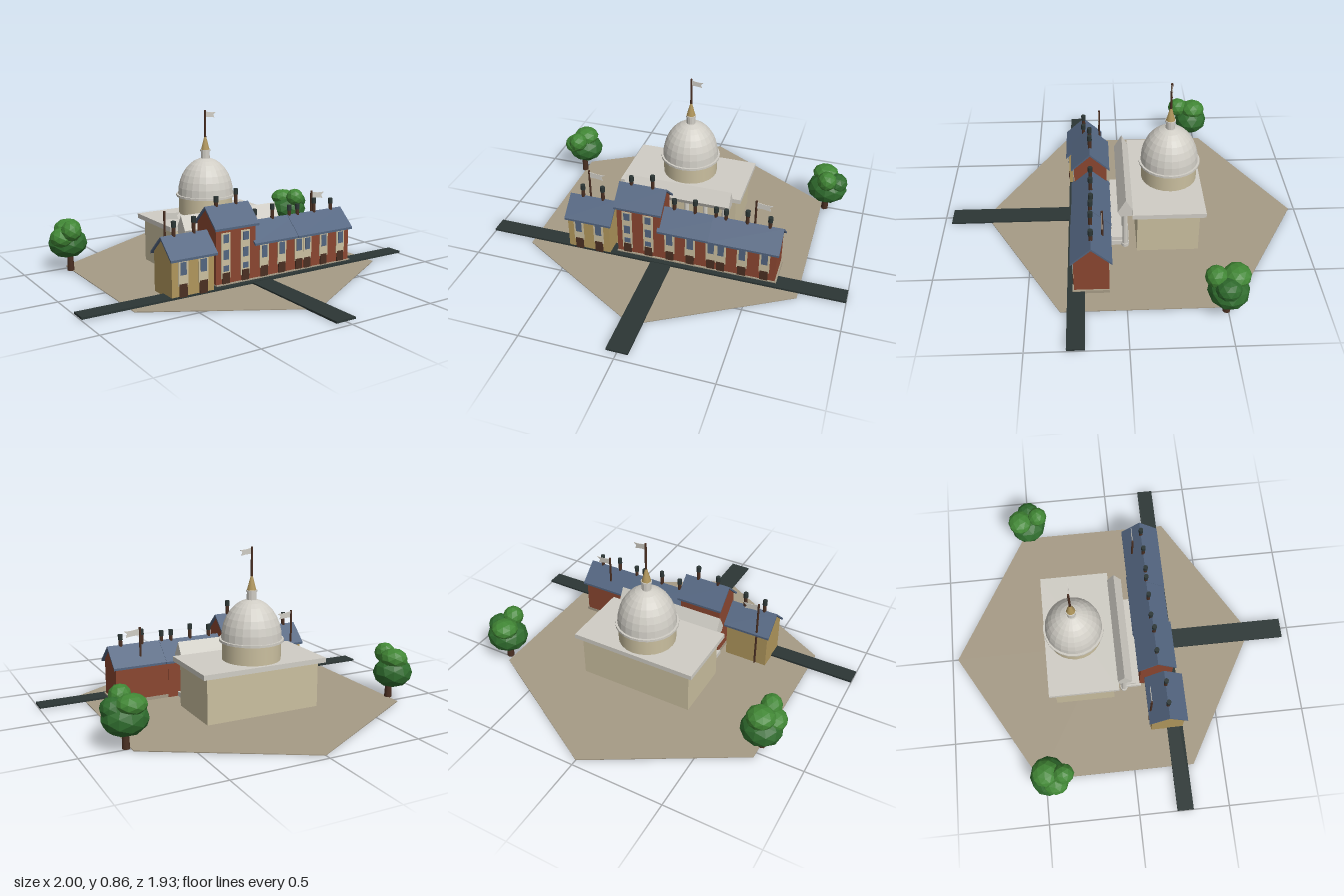
import * as THREE from 'three';

const mat = (name, color, flat = false) => {
  const m = new THREE.MeshStandardMaterial({ color, flatShading: flat });
  m.name = name;
  return m;
};

export function createModel() {
  const root = new THREE.Group();
  root.name = 'townSquare';
  const M = {
    ground: mat('ground', 0xa69b86),
    asphalt: mat('asphalt', 0x2c3635),
    ochre: mat('ochre', 0xb0965c),
    brick: mat('brick', 0x8a4630),
    slate: mat('slate', 0x536580),
    sandstone: mat('sandstone', 0xcabf9f),
    stone: mat('stone', 0xd0cdc5, true),
    wood: mat('wood', 0x4a2f22),
    leaf: mat('darkLeaf', 0x2f6b2d, true),
    leafLight: mat('lightLeaf', 0x418735, true),
  };

  const add = (parent, name, geo, material, x = 0, y = 0, z = 0) => {
    const m = new THREE.Mesh(geo, material);
    m.name = name;
    m.position.set(x, y, z);
    parent.add(m);
    return m;
  };
  // Box given by its min and max on each axis
  const box = (parent, name, material, x0, x1, y0, y1, z0, z1) =>
    add(parent, name, new THREE.BoxGeometry(x1 - x0, y1 - y0, z1 - z0), material,
      (x0 + x1) / 2, (y0 + y1) / 2, (z0 + z1) / 2);
  // Upright cylinder or cone from y0 to y1
  const post = (parent, name, material, x, z, y0, y1, rBottom, rTop = rBottom, sides = 10) =>
    add(parent, name, new THREE.CylinderGeometry(rTop, rBottom, y1 - y0, sides), material, x, (y0 + y1) / 2, z);
  // Symmetric (z, y) profile extruded along x
  const prism = (parent, name, material, points, x0, x1, z) => {
    const shape = new THREE.Shape(points.map(([a, b]) => new THREE.Vector2(a, b)));
    const geo = new THREE.ExtrudeGeometry(shape, { depth: x1 - x0, bevelEnabled: false });
    geo.rotateY(Math.PI / 2);
    return add(parent, name, geo, material, x0, 0, z);
  };

  // Ground and roads
  const ground = post(root, 'ground', M.ground, 0, -0.1, 0, 0.004, 0.868, 0.868, 6);
  ground.material = M.ground;
  box(root, 'crossRoad', M.asphalt, -1, 1, 0.005, 0.016, 0.21, 0.3);
  box(root, 'approachRoad', M.asphalt, -0.057, 0.057, 0.002, 0.012, 0.25, 0.96);
  box(root, 'pavement', M.ground, -0.26, 0.63, 0.002, 0.022, 0.084, 0.272);

  // Terraced houses with gabled roofs, doors, windows and chimneys
  function house(name, wallMat, o) {
    const g = new THREE.Group();
    g.name = name;
    root.add(g);
    const { x0, x1, z, eave, ridge, bays, panes, frame, stacks } = o;
    const half = 0.09, over = 0.106, t = 0.012;
    const wallTop = ridge - t - (ridge - eave) * half / over;
    prism(g, 'walls', wallMat,
      [[-half, 0.004], [half, 0.004], [half, wallTop], [0, ridge - t], [-half, wallTop]], x0, x1, z);
    prism(g, 'roof', M.slate,
      [[over, eave - t], [over, eave], [0, ridge], [-over, eave], [-over, eave - t], [0, ridge - t]],
      x0 - 0.012, x1 + 0.014, z);
    const f = z + half;
    bays.forEach((x, i) => {
      box(g, 'windowSurround', M.sandstone, x - 0.028, x + 0.028, frame[0], frame[1], f - 0.002, f + 0.004);
      for (const [a, b] of panes) box(g, 'windowPane', M.slate, x - 0.017, x + 0.017, a, b, f, f + 0.007);
      box(g, 'door', M.wood, x - 0.022, x + 0.022, 0.012, 0.08, f - 0.002, f + 0.006);
      const top = stacks[i];
      post(g, 'chimney', M.wood, x, z, ridge - 0.03, top - 0.025, 0.01);
      post(g, 'chimneyPot', M.asphalt, x, z, top - 0.03, top, 0.013);
    });
  }
  const low = { eave: 0.21, ridge: 0.307, panes: [[0.125, 0.19]], frame: [0.07, 0.2] };
  house('ochreHouse', M.ochre, { ...low, x0: -0.533, x1: -0.292, z: 0.208, bays: [-0.47, -0.355], stacks: [0.375, 0.385] });
  house('tallHouse', M.brick, {
    x0: -0.258, x1: -0.016, z: 0.172, eave: 0.318, ridge: 0.417, bays: [-0.2, -0.08],
    panes: [[0.238, 0.282], [0.15, 0.2], [0.088, 0.118]], frame: [0.05, 0.29], stacks: [0.462, 0.49],
  });
  house('middleTerrace', M.brick, { ...low, x0: -0.016, x1: 0.325, z: 0.172, bays: [0.04, 0.155, 0.27], stacks: [0.365, 0.38, 0.36] });
  house('endTerrace', M.brick, { ...low, x0: 0.268, x1: 0.621, z: 0.175, bays: [0.325, 0.44, 0.56], stacks: [0.36, 0.38, 0.365] });

  // Flagpoles with swallow-tailed flags
  function flagpole(x, z, y0, top, r, w, h) {
    post(root, 'flagpole', M.wood, x, z, y0, top, r, r, 8);
    const s = new THREE.Shape();
    s.moveTo(0, 0);
    s.quadraticCurveTo(w * 0.5, -h * 0.3, w, -h * 0.2);
    s.lineTo(w * 0.78, -h * 0.55);
    s.lineTo(w * 0.88, -h);
    s.quadraticCurveTo(w * 0.4, -h * 0.8, 0, -h * 0.85);
    const geo = new THREE.ExtrudeGeometry(s, { depth: 0.003, bevelEnabled: false, curveSegments: 4 });
    add(root, 'flag', geo, M.stone, x, top - 0.005, z);
  }
  for (const x of [-0.47, 0.47]) flagpole(x, 0.115, 0.004, 0.407, 0.006, 0.09, 0.045);

  // Domed hall
  const hall = new THREE.Group();
  hall.name = 'domedHall';
  root.add(hall);
  const dz = -0.262;
  box(hall, 'hallWalls', M.sandstone, -0.32, 0.32, 0.004, 0.247, -0.403, -0.072);
  box(hall, 'hallRoof', M.stone, -0.35, 0.35, 0.247, 0.273, -0.432, -0.045);
  post(hall, 'drum', M.sandstone, 0, dz, 0.27, 0.375, 0.153, 0.153, 24);
  post(hall, 'drumCornice', M.stone, 0, dz, 0.37, 0.382, 0.168, 0.168, 24);
  const dome = new THREE.SphereGeometry(0.157, 24, 8, 0, Math.PI * 2, 0, Math.PI / 2);
  dome.scale(1, 1.31, 1);
  add(hall, 'dome', dome, M.stone, 0, 0.382, dz);
  post(hall, 'lantern', M.stone, 0, dz, 0.575, 0.628, 0.025, 0.025, 12);
  post(hall, 'lanternRim', M.stone, 0, dz, 0.625, 0.634, 0.029, 0.029, 12);
  post(hall, 'spire', M.ochre, 0, dz, 0.634, 0.712, 0.025, 0.004, 8);
  flagpole(0, dz, 0.7, 0.855, 0.006, 0.068, 0.038);

  // Portico: steps, colonnade and steep roof
  box(hall, 'lowerStep', M.stone, -0.27, 0.27, 0.004, 0.03, -0.03, 0.09);
  box(hall, 'upperStep', M.stone, -0.26, 0.26, 0.03, 0.05, -0.03, 0.06);
  for (let i = 0; i < 6; i++) {
    const x = -0.27 + i * 0.108;
    post(hall, 'columnBase', M.stone, x, -0.01, 0.004, 0.022, 0.02, 0.02, 12);
    post(hall, 'column', M.stone, x, -0.01, 0.02, 0.225, 0.015, 0.013, 12);
    post(hall, 'columnCapital', M.stone, x, -0.01, 0.222, 0.238, 0.019, 0.019, 12);
  }
  prism(hall, 'porticoRoof', M.stone,
    [[-0.03, 0.234], [0.03, 0.234], [0.043, 0.262], [0, 0.337], [-0.043, 0.262]], -0.305, 0.305, -0.012);

  // Trees: a trunk and faceted leaf clumps [x, y, z, rx, ry, rz, light]
  function tree(name, x, z, clumps) {
    const g = new THREE.Group();
    g.name = name;
    g.position.set(x, 0, z);
    root.add(g);
    post(g, 'trunk', M.wood, 0, 0, 0.003, 0.12, 0.02, 0.014, 8);
    for (const [cx, cy, cz, rx, ry, rz, light] of clumps) {
      const geo = new THREE.IcosahedronGeometry(1, 1);
      geo.scale(rx, ry, rz);
      add(g, 'foliage', geo, light ? M.leafLight : M.leaf, cx, cy, cz);
    }
  }
  tree('leftTree', -0.757, -0.445, [
    [0, 0.152, -0.03, 0.108, 0.083, 0.1, 0],
    [0.005, 0.23, -0.04, 0.075, 0.055, 0.075, 1],
    [-0.01, 0.237, 0.055, 0.055, 0.058, 0.06, 1],
    [-0.05, 0.195, 0.01, 0.062, 0.055, 0.07, 1],
  ]);
  tree('rightTree', 0.773, -0.49, [
    [0, 0.15, 0, 0.115, 0.085, 0.105, 0],
    [0.055, 0.2, 0.01, 0.06, 0.055, 0.065, 0],
    [-0.02, 0.225, -0.04, 0.075, 0.05, 0.07, 1],
    [0, 0.237, 0.065, 0.056, 0.057, 0.056, 1],
  ]);

  return root;
}
